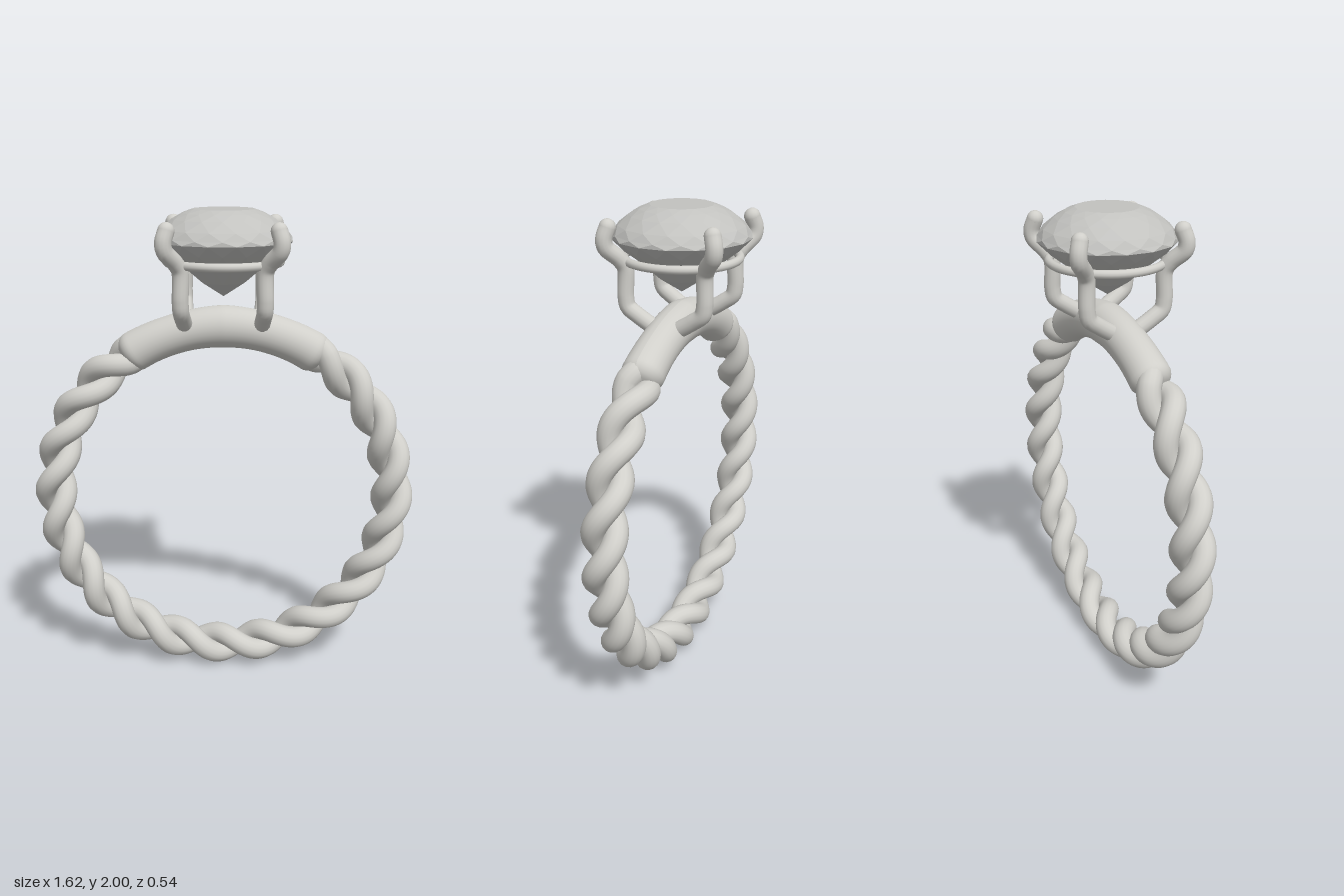
import * as THREE from 'three';

const CY = 0.81;          // height of the band centre
const RING = 0.72;        // radius of the band centre line
const STRAND = 0.047;     // radius of one rope strand
const PRONG = 0.033;      // radius of one prong
const GAP = THREE.MathUtils.degToRad(27); // half angle of the plain section on top

// One strand of the two-strand rope, wound 12 times per full circle
class StrandCurve extends THREE.Curve {
  constructor(phase) { super(); this.phase = phase; }
  getPoint(t, target = new THREE.Vector3()) {
    const a = Math.PI / 2 + GAP + t * (Math.PI * 2 - 2 * GAP);
    const p = 12 * a + this.phase;
    const off = 0.022 + 0.02 * Math.min(1, Math.min(t, 1 - t) / 0.025);
    const r = RING + off * Math.cos(p);
    return target.set(r * Math.cos(a), CY + r * Math.sin(a), -off * Math.sin(p));
  }
}

// Plain arc on top of the band: cross-sections swept with a rounded taper at both ends
function shoulderGeometry() {
  const U = 80, V = 28, half = THREE.MathUtils.degToRad(35);
  const pos = [], idx = [];
  for (let i = 0; i <= U; i++) {
    const s = (i / U) * 2 - 1, a = Math.PI / 2 + s * half;
    const end = Math.min(1, (1 - Math.abs(s)) / 0.14);
    const w = (0.086 - 0.005 * Math.sin(Math.PI * Math.abs(s))) * Math.sqrt(1 - (1 - end) ** 2);
    const c = 0.725 - 0.005 * Math.min(1, 2 * Math.abs(s));
    for (let j = 0; j <= V; j++) {
      const b = (j / V) * Math.PI * 2, r = c + w * Math.cos(b);
      pos.push(r * Math.cos(a), CY + r * Math.sin(a), w * Math.sin(b));
      if (i < U && j < V) {
        const k = i * (V + 1) + j, n = k + V + 1;
        idx.push(k, n, k + 1, k + 1, n, n + 1);
      }
    }
  }
  const g = new THREE.BufferGeometry();
  g.setAttribute('position', new THREE.Float32BufferAttribute(pos, 3));
  g.setIndex(idx);
  g.computeVertexNormals();
  return g;
}

// Faceted stone: 16-sided rings [radius, y], each turned half a step from the last
function gemGeometry() {
  const N = 16;
  const rings = [[0, 1.657], [0.09, 1.715], [0.17, 1.785], [0.235, 1.835], [0.277, 1.878],
    [0.271, 1.895], [0.25, 1.925], [0.205, 1.962], [0.165, 1.985], [0.125, 2], [0, 2]];
  const pos = [];
  const pt = (i, j) => {
    const a = ((j + 0.5 + (i % 2) / 2) / N) * Math.PI * 2;
    return [rings[i][0] * Math.cos(a), rings[i][1], rings[i][0] * Math.sin(a)];
  };
  for (let i = 0; i < rings.length - 1; i++) {
    for (let j = 0; j < N; j++) {
      // neighbour on the upper ring that lies between lower corners j and j + 1
      const q = j + (i % 2);
      if (rings[i][0] > 0) pos.push(...pt(i, j), ...pt(i + 1, q), ...pt(i, j + 1));
      if (rings[i + 1][0] > 0) pos.push(...pt(i, j + 1), ...pt(i + 1, q), ...pt(i + 1, q + 1));
    }
  }
  const g = new THREE.BufferGeometry();
  g.setAttribute('position', new THREE.Float32BufferAttribute(pos, 3));
  g.computeVertexNormals();
  return g;
}

export function createModel() {
  const metal = new THREE.MeshStandardMaterial({ color: 0xd0cfca });
  metal.name = 'metal';
  const stone = new THREE.MeshStandardMaterial({ color: 0xc2c2bf });
  stone.name = 'stone';

  const model = new THREE.Group();
  model.name = 'ring';
  const add = (parent, name, geometry, material) => {
    const mesh = new THREE.Mesh(geometry, material);
    mesh.name = name;
    parent.add(mesh);
    return mesh;
  };

  // Twisted band whose strands run into a plain arc on top
  const band = new THREE.Group();
  band.name = 'band';
  model.add(band);
  for (const phase of [0, Math.PI])
    add(band, 'ropeStrand', new THREE.TubeGeometry(new StrandCurve(phase), 420, STRAND, 16), metal);
  add(band, 'plainShoulder', shoulderGeometry(), metal);

  // Setting: four bent prongs and a gallery ring
  const setting = new THREE.Group();
  setting.name = 'setting';
  model.add(setting);
  for (const sx of [-1, 1]) for (const sz of [-1, 1]) {
    const pts = [[0.155, 1.55, 0.055], [0.16, 1.588, 0.115], [0.164, 1.62, 0.156], [0.165, 1.66, 0.165],
      [0.165, 1.775, 0.165], [0.182, 1.81, 0.182], [0.219, 1.857, 0.219], [0.223, 1.89, 0.223], [0.212, 1.932, 0.212]]
      .map(([x, y, z]) => new THREE.Vector3(x * sx, y, z * sz));
    add(setting, 'prong', new THREE.TubeGeometry(new THREE.CatmullRomCurve3(pts), 48, PRONG, 14), metal);
    for (const p of [pts[0], pts[pts.length - 1]])
      add(setting, 'prongTip', new THREE.SphereGeometry(PRONG, 14, 10), metal).position.copy(p);
  }
  const gallery = add(setting, 'galleryRing', new THREE.TorusGeometry(0.228, 0.017, 12, 64), metal);
  gallery.rotation.x = Math.PI / 2;
  gallery.position.y = 1.797;

  add(model, 'gemstone', gemGeometry(), stone);
  return model;
}
